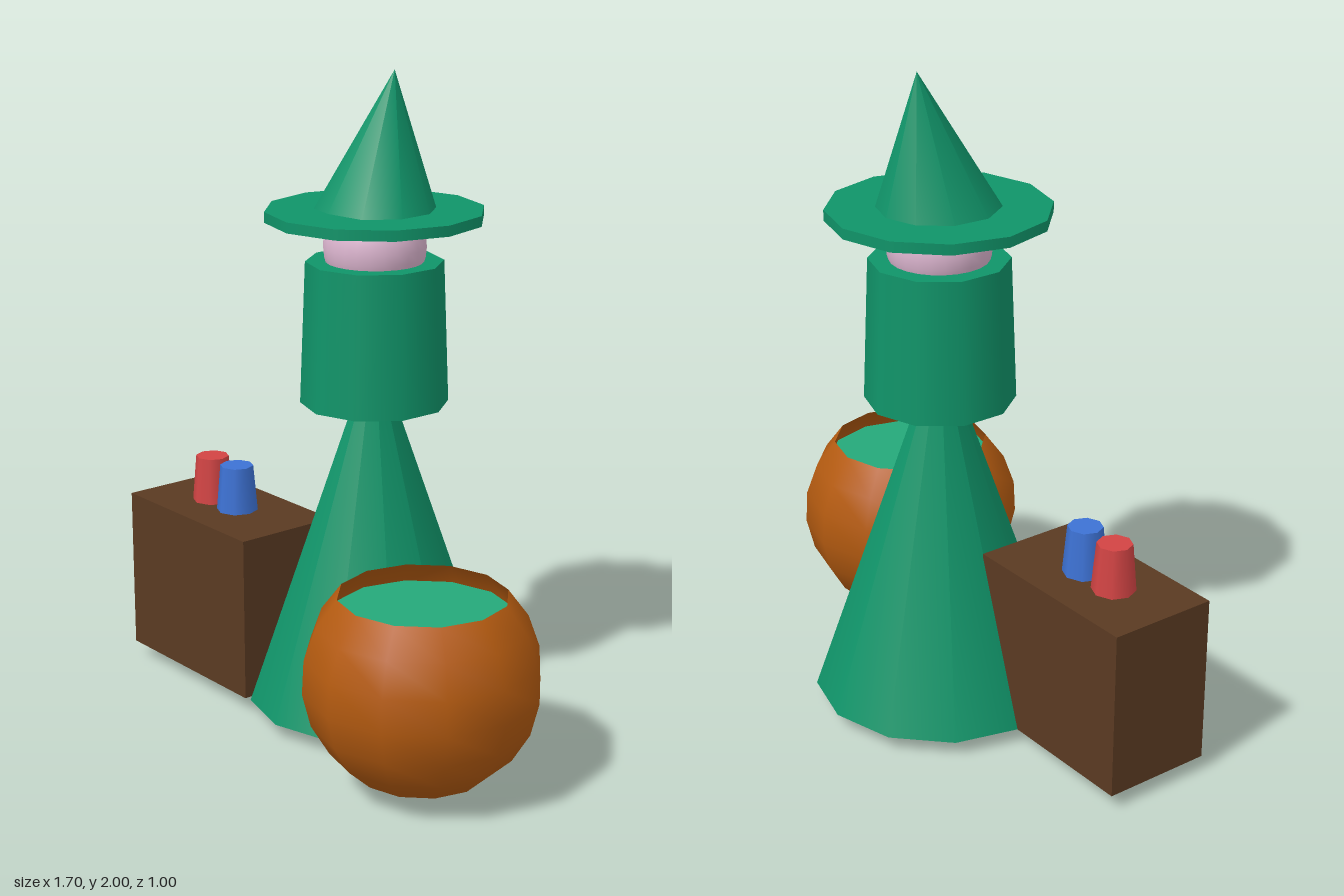
import * as THREE from 'three';

const mat = (name, color, side = THREE.FrontSide) => {
  const m = new THREE.MeshStandardMaterial({ color, side });
  m.name = name;
  return m;
};

export function createModel() {
  const group = new THREE.Group();
  const green = mat('green cloth', 0x109469);
  const skin = mat('pale pink skin', 0xddb6d0);
  const wood = mat('dark wood', 0x5a3a22);
  const copper = mat('copper', 0xb35a10, THREE.DoubleSide);
  const brew = mat('light green brew', 0x25a87a);
  const red = mat('red glass', 0xd24444);
  const blue = mat('blue glass', 0x3d72d4);

  const add = (name, geometry, material, x, y, z) => {
    const mesh = new THREE.Mesh(geometry, material);
    mesh.name = name;
    mesh.position.set(x, y, z);
    group.add(mesh);
    return mesh;
  };
  // Tapered round part standing between two heights
  const taper = (name, material, rTop, rBottom, y0, y1, sides, x, z) =>
    add(name, new THREE.CylinderGeometry(rTop, rBottom, y1 - y0, sides), material, x, (y0 + y1) / 2, z);

  // Figure, all on one axis
  const fx = -0.025, fz = -0.11;
  add('robe', new THREE.ConeGeometry(0.39, 1.14, 12), green, fx, 0.62, fz);
  taper('torso', green, 0.208, 0.225, 1.005, 1.44, 10, fx, fz);
  add('head', new THREE.SphereGeometry(0.155, 24, 16), skin, fx, 1.485, fz);
  taper('hatBrim', green, 0.33, 0.33, 1.565, 1.597, 12, fx, fz);

  // Pointed hat leaning backwards
  const hat = add('hatCone', new THREE.ConeGeometry(0.19, 0.43, 10), green, fx, 1.787, -0.152);
  hat.rotation.x = -0.15;

  // Chest with two potion cups on top
  add('chest', new THREE.BoxGeometry(0.61, 0.52, 0.345), wood, -0.545, 0.31, 0.06);
  taper('redPotion', red, 0.053, 0.066, 0.57, 0.718, 8, -0.633, 0.06);
  taper('bluePotion', blue, 0.053, 0.066, 0.57, 0.718, 8, -0.502, 0.06);

  // Open cauldron with its brew
  add('cauldron',
    new THREE.SphereGeometry(0.35, 12, 8, 0, Math.PI * 2, Math.PI / 4, Math.PI * 0.75),
    copper, 0.5, 0.352, 0.15);
  taper('brewSurface', brew, 0.265, 0.265, 0.535, 0.543, 12, 0.5, 0.15);

  return group;
}
